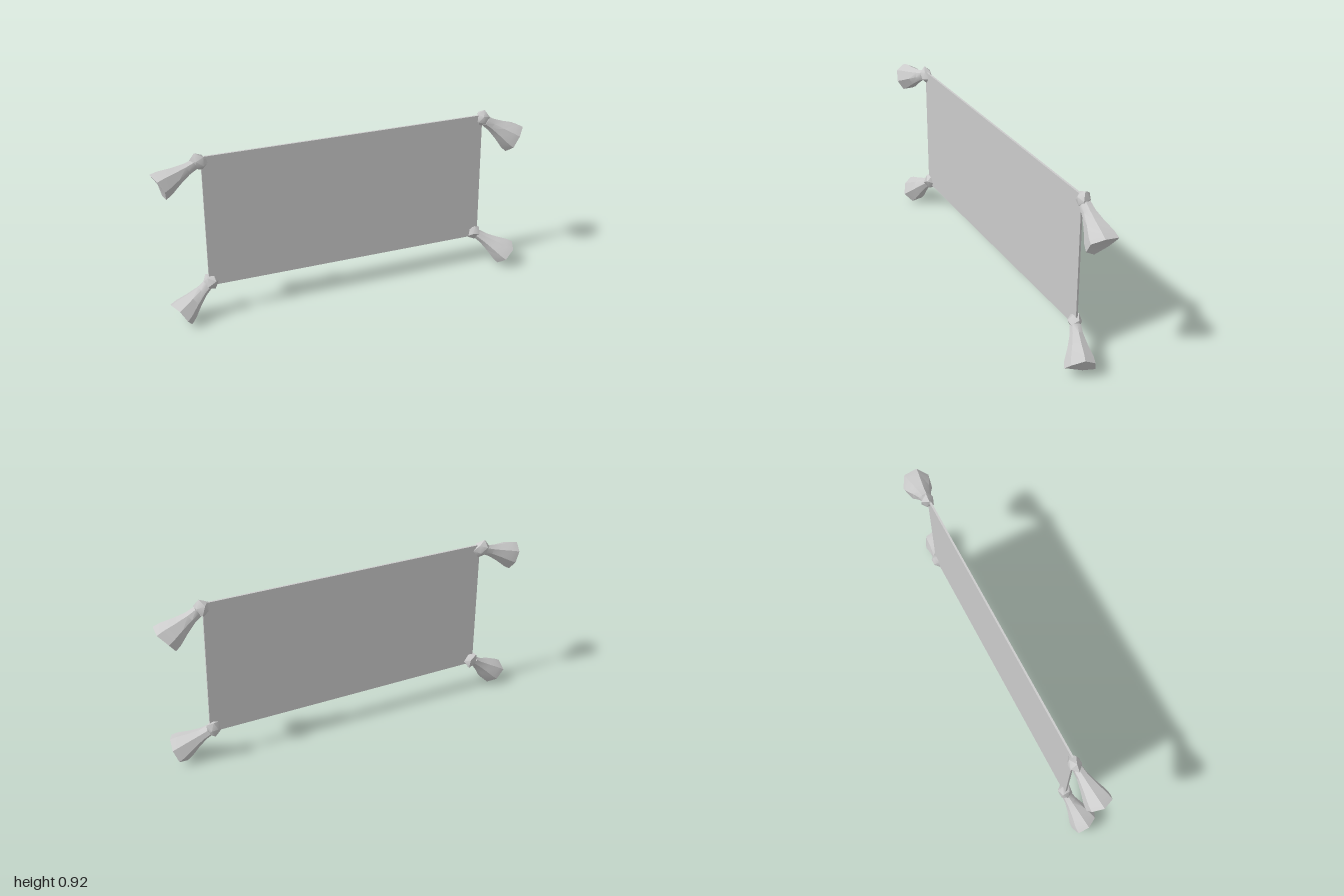
import * as THREE from 'three';
import { toCreasedNormals } from 'three/addons/utils/BufferGeometryUtils.js';

const material = new THREE.MeshStandardMaterial({ color: 0xcccccc });
const PANEL_Z = -0.043;

function mesh(name, geometry) {
  const m = new THREE.Mesh(geometry, material);
  m.name = name;
  return m;
}

// Thin cloth, slightly wider at its lower edge
function clothPanel() {
  const shape = new THREE.Shape([
    new THREE.Vector2(-0.765, 0.185), new THREE.Vector2(0.775, 0.178),
    new THREE.Vector2(0.757, 0.908), new THREE.Vector2(-0.757, 0.91),
  ]);
  const geometry = new THREE.ExtrudeGeometry(shape, { depth: 0.01, bevelEnabled: false });
  geometry.translate(0, 0, PANEL_Z - 0.005);
  return mesh('clothPanel', geometry);
}

// Lumpy faceted knot: a low-poly ball with uneven corners
function knot(center, size, seed) {
  const geometry = new THREE.IcosahedronGeometry(1, 0);
  const p = geometry.attributes.position;
  const v = new THREE.Vector3();
  for (let i = 0; i < p.count; i++) {
    v.fromBufferAttribute(p, i);
    v.multiplyScalar(1 + 0.13 * Math.sin(7 * v.x + 11 * v.y + 5 * v.z + seed));
    p.setXYZ(i, v.x, v.y, v.z);
  }
  geometry.rotateZ(seed * 0.6);
  geometry.scale(...size);
  const m = mesh('knot', toCreasedNormals(geometry, 0.75));
  m.position.copy(center);
  return m;
}

// Flared tassel from the knot to the centre of its closed rim
function tassel(start, end, radius, seed) {
  const axis = end.clone().sub(start);
  const length = axis.length();
  const profile = [
    [0, 0], [0.36, 0], [0.42, 0.22], [0.64, 0.52], [0.92, 0.82], [1, 1], [0, 0.98],
  ].map(([r, t]) => new THREE.Vector2(r * radius, t * length));
  const geometry = new THREE.LatheGeometry(profile, 7, seed);
  const p = geometry.attributes.position;
  for (let i = 0; i < p.count; i++) {
    const x = p.getX(i), y = p.getY(i), z = p.getZ(i);
    const r = Math.hypot(x, z);
    if (r < 1e-5) continue;
    // Uneven folds and a wavy rim
    const wave = Math.sin(2 * Math.atan2(z, x) + seed * 2);
    const k = 1 + 0.05 * wave;
    p.setXYZ(i, x * k, y + 0.008 * wave * (y / length), z * k);
  }
  const m = mesh('tassel', toCreasedNormals(geometry, 0.8));
  m.position.copy(start);
  m.quaternion.setFromUnitVectors(new THREE.Vector3(0, 1, 0), axis.normalize());
  return m;
}

export function createModel() {
  const group = new THREE.Group();
  group.name = 'tasselledCloth';
  group.add(clothPanel());

  // Each corner: knot centre, knot size, tassel rim centre, rim radius
  const corners = [
    { name: 'upperLeftCorner', at: [0.762, 0.885], size: [0.04, 0.045, 0.038], rim: [0.945, 0.757, -0.03], r: 0.08 },
    { name: 'upperRightCorner', at: [-0.768, 0.885], size: [0.046, 0.045, 0.038], rim: [-0.973, 0.8, -0.02], r: 0.072 },
    { name: 'lowerLeftCorner', at: [0.757, 0.2], size: [0.038, 0.049, 0.038], rim: [0.926, 0.072, 0.032], r: 0.078 },
    { name: 'lowerRightCorner', at: [-0.756, 0.205], size: [0.044, 0.047, 0.038], rim: [-0.925, 0.068, -0.012], r: 0.075 },
  ];
  corners.forEach((c, i) => {
    const corner = new THREE.Group();
    corner.name = c.name;
    const center = new THREE.Vector3(c.at[0], c.at[1], PANEL_Z - 0.003);
    const rim = new THREE.Vector3(...c.rim);
    const start = center.clone().lerp(rim, 0.1);
    corner.add(knot(center, c.size, i + 0.5), tassel(start, rim, c.r, 0.4 + i * 0.5));
    group.add(corner);
  });
  return group;
}
